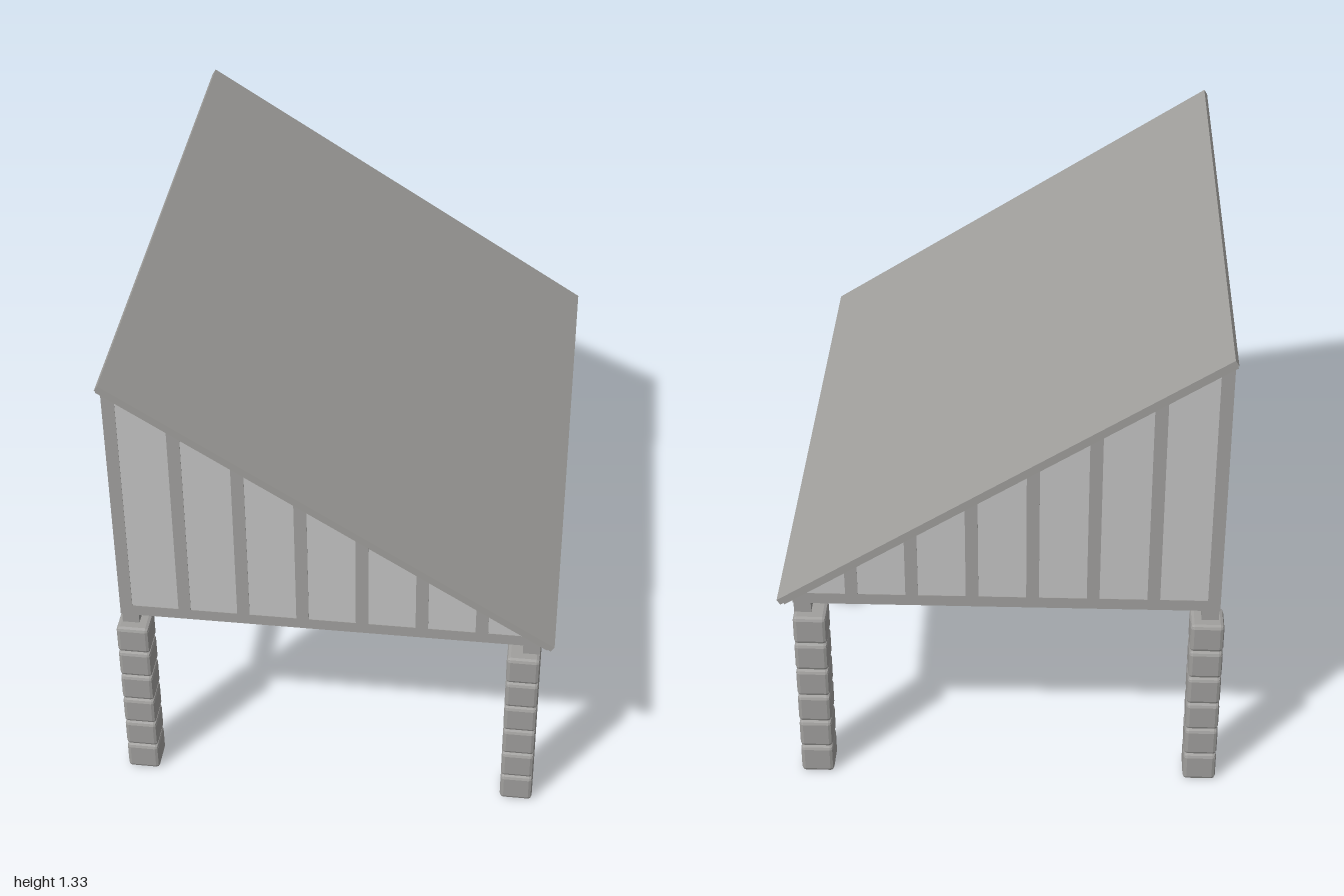
import * as THREE from 'three';
import { RoundedBoxGeometry } from 'three/addons/geometries/RoundedBoxGeometry.js';

const mat = (name, color) => Object.assign(new THREE.MeshStandardMaterial({ color }), { name });

export function createModel() {
  const block = mat('block grey', 0xa09f9d);
  const timber = mat('timber grey', 0xa1a09e);
  const panel = mat('panel grey', 0xc4c4c4);
  const roofGrey = mat('roof grey', 0xa09f9c);

  const model = new THREE.Group();
  model.name = 'leanToShelter';
  const body = new THREE.Group();
  body.name = 'shelterBody';
  body.rotation.y = Math.PI / 6; // stands turned on its plot
  model.add(body);

  const add = (name, geometry, material, x = 0, y = 0, z = 0) => {
    const mesh = new THREE.Mesh(geometry, material);
    mesh.name = name;
    mesh.position.set(x, y, z);
    body.add(mesh);
    return mesh;
  };
  const box = (name, material, w, h, d, x, y, z) =>
    add(name, new THREE.BoxGeometry(w, h, d), material, x, y, z);
  // Outline in x and y, extruded along z around a centre
  const prism = (name, material, points, depth, z) => {
    const shape = new THREE.Shape(points.map(([x, y]) => new THREE.Vector2(x, y)));
    const g = new THREE.ExtrudeGeometry(shape, { depth, bevelEnabled: false });
    return add(name, g.translate(0, 0, -depth / 2), material, 0, 0, z);
  };

  // Roof plane: high along -x, low along +x
  const high = { x: -0.567, y: 1.33 }, low = { x: 0.577, y: 0.593 };
  const slope = (low.y - high.y) / (low.x - high.x);
  const angle = Math.atan(slope);
  const ceiling = (x) => high.y - 0.028 + (x - high.x) * slope;

  // Six piers of stacked, chamfered blocks
  const pitch = 0.0872;
  const blockShape = new RoundedBoxGeometry(0.088, 0.084, 0.088, 1, 0.01);
  blockShape.computeVertexNormals();
  for (const x of [-0.541, 0.499])
    for (const z of [-0.763, 0, 0.763])
      for (let i = 0; i < 6; i++)
        add('pierBlock', blockShape, block, x, 0.042 + i * pitch, z);

  // Bearers along the piers, joists across them
  for (const x of [-0.548, 0.518])
    box('bearer', timber, 0.045, 0.036, 1.56, x, 0.541, 0);
  const x0 = -0.572, x1 = 0.542, sillTop = 0.59;
  for (const z of [-0.38, 0, 0.38])
    box('floorJoist', timber, x1 - x0, 0.032, 0.035, (x0 + x1) / 2, 0.574, z);

  // End walls: sill, cladding and flush battens
  for (const side of [-1, 1]) {
    const z = side * 0.772;
    box('sill', timber, x1 - x0, 0.032, 0.032, (x0 + x1) / 2, 0.574, z);
    const tip = 0.528;
    prism('wallPanel', panel, [
      [x0 + 0.002, sillTop], [tip, sillTop], [tip, ceiling(tip)], [x0 + 0.002, ceiling(x0 + 0.002)],
    ], 0.029, z);
    for (let i = 0; i < 7; i++) {
      const a = x0 + i * 0.157, b = a + 0.033;
      prism('batten', timber, [[a, sillTop], [b, sillTop], [b, ceiling(b)], [a, ceiling(a)]], 0.032, z);
    }
  }

  // Roof: top sheet over a slightly smaller lining
  const length = Math.hypot(low.x - high.x, low.y - high.y);
  const sheet = (name, top, thickness, inset) => {
    const d = top + thickness / 2;
    const m = box(name, roofGrey, length - inset, thickness, 1.65 - inset,
      (high.x + low.x) / 2 + Math.sin(angle) * d, (high.y + low.y) / 2 - Math.cos(angle) * d, 0);
    m.rotation.z = angle;
  };
  sheet('roofSheet', 0, 0.017, 0);
  sheet('roofLining', 0.017, 0.008, 0.012);

  return model;
}
